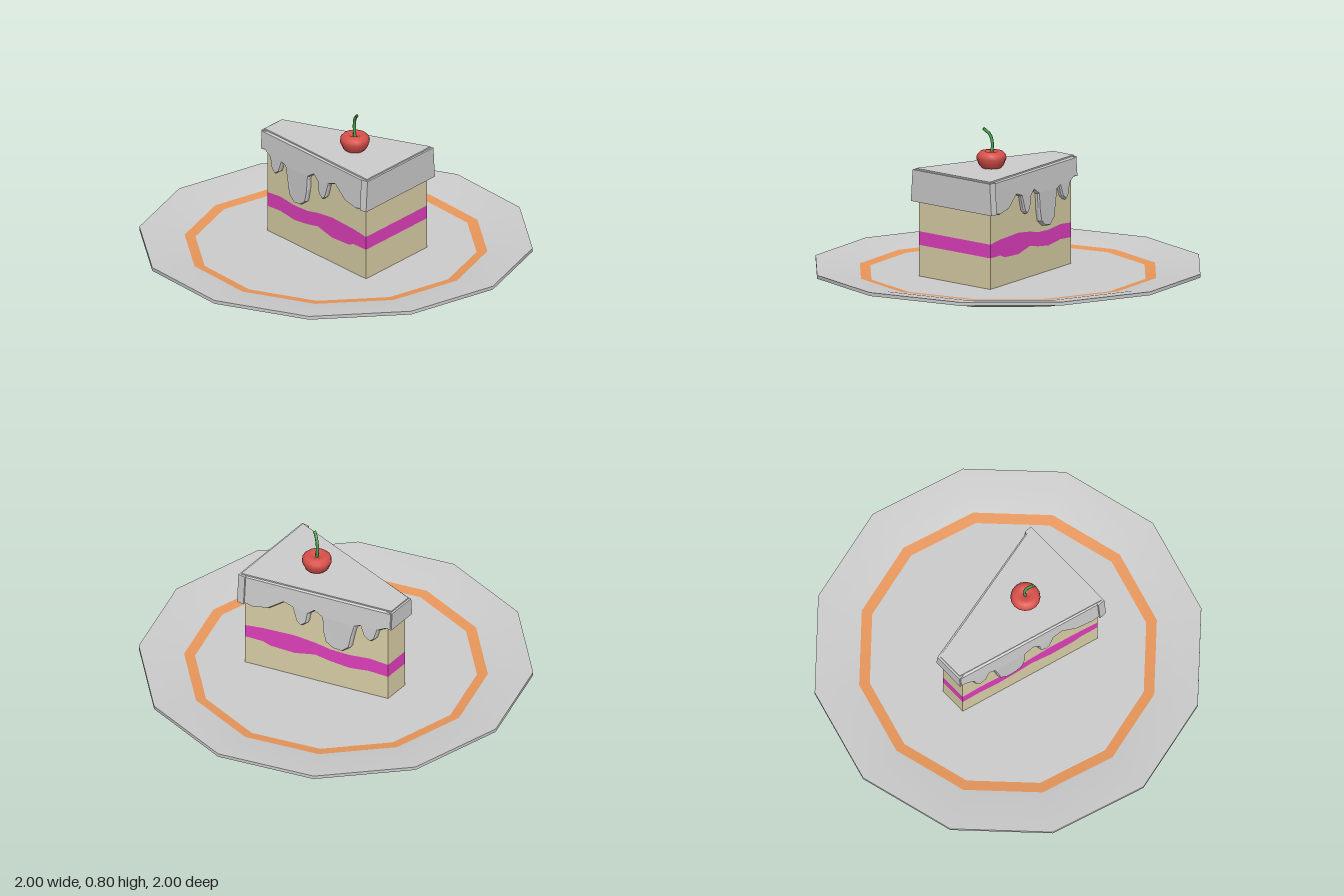
import * as THREE from 'three';

const V2 = (p) => new THREE.Vector2(p[0], p[1]);
const paint = (color) => new THREE.MeshStandardMaterial({ color });

function add(parent, name, geometry, material) {
  const mesh = new THREE.Mesh(geometry, material);
  mesh.name = name;
  parent.add(mesh);
  return mesh;
}

// Lathe profiles run from the underside, outwards, then back over the top
const lathe = (points, sides) => new THREE.LatheGeometry(points.map(V2), sides);

// Outer half width of the icing at depth z; it flares slightly downwards
const SLOPE = 0.232;
const icingHalf = (z, y) =>
  0.284 - SLOPE * (0.41 - z) - 0.012 * THREE.MathUtils.clamp((y - 0.43) / 0.16, 0, 1);

// Side of the icing: z, y along the dripping lower edge, front to back
const DRIPS = [
  [0.41, 0.435], [0.33, 0.415], [0.245, 0.43], [0.165, 0.49], [0.12, 0.475], [0.095, 0.395],
  [0.07, 0.375], [0.04, 0.4], [0.03, 0.46], [0, 0.485], [-0.04, 0.46], [-0.045, 0.38],
  [-0.06, 0.315], [-0.1, 0.285], [-0.15, 0.28], [-0.19, 0.315], [-0.205, 0.395], [-0.22, 0.455],
  [-0.245, 0.465], [-0.265, 0.41], [-0.3, 0.385], [-0.325, 0.41], [-0.34, 0.465], [-0.38, 0.487],
  [-0.41, 0.49],
];

// Filling between the sponge layers: z, lower y, upper y
const FILLING = [
  [0.385, 0.2, 0.27], [0.29, 0.198, 0.28], [0.25, 0.182, 0.281], [0.12, 0.175, 0.285],
  [0.01, 0.198, 0.272], [-0.07, 0.182, 0.255], [-0.17, 0.17, 0.25], [-0.28, 0.182, 0.26],
  [-0.38, 0.175, 0.25],
];

function dripSide(s) {
  const shape = new THREE.Shape([...DRIPS, [-0.41, 0.588], [0.41, 0.588]].map(V2));
  const g = new THREE.ExtrudeGeometry(shape, {
    depth: 0.025, bevelThickness: 0.01, bevelSize: 0.006, bevelOffset: -0.006, bevelSegments: 1,
  });
  // Stand the slab along the slanted side of the slice
  const p = g.attributes.position;
  for (let i = 0; i < p.count; i++) {
    const z = p.getX(i), y = p.getY(i), c = p.getZ(i) + 0.01;
    p.setXYZ(i, s * icingHalf(z, y) + (s > 0 ? 0 : 0.045) - c, y, z);
  }
  g.computeVertexNormals();
  return g;
}

// Icing on the front or back end
function endSkirt(z, zSide, bottom) {
  const a = icingHalf(zSide, bottom) - 0.001, b = icingHalf(zSide, 0.588) - 0.001;
  const shape = new THREE.Shape([[-a, bottom], [a, bottom], [b, 0.588], [-b, 0.588]].map(V2));
  return new THREE.ExtrudeGeometry(shape, { depth: 0.04, bevelEnabled: false }).translate(0, 0, z);
}

// Wall strip around the slice between two height rules
function wall(lower, upper) {
  const half = (z) => 0.25 - SLOPE * (0.385 - z);
  const ring = [
    ...FILLING.map((f) => [half(f[0]), f]),
    ...[...FILLING].reverse().map((f) => [-half(f[0]), f]),
  ];
  const pos = [];
  ring.forEach(([x0, f0], i) => {
    const [x1, f1] = ring[(i + 1) % ring.length];
    const a = [x0, lower(f0), f0[0]], b = [x1, lower(f1), f1[0]];
    const c = [x1, upper(f1), f1[0]], d = [x0, upper(f0), f0[0]];
    pos.push(...a, ...b, ...c, ...a, ...c, ...d);
  });
  const g = new THREE.BufferGeometry();
  g.setAttribute('position', new THREE.Float32BufferAttribute(pos, 3));
  g.computeVertexNormals();
  return g;
}

export function createModel() {
  const model = new THREE.Group();
  const grey = paint(0xcccccc);
  const spongeColor = paint(0xd9cfa6);

  // Twelve-sided plate with a painted ring
  const plate = new THREE.Group();
  plate.name = 'plate';
  model.add(plate);
  add(plate, 'plateUnderside', lathe([[0, 0], [0.72, 0], [0.88, 0.05], [1, 0.06]], 12), grey);
  add(plate, 'plateEdge', lathe([[1, 0.06], [1, 0.078]], 12), grey);
  add(plate, 'plateRim', lathe([[1, 0.078], [0.88, 0.066], [0.77, 0.047]], 12), grey);
  add(plate, 'plateRing', lathe([[0.77, 0.047], [0.715, 0.04]], 12), paint(0xe8965a));
  add(plate, 'plateFloor', lathe([[0.715, 0.04], [0, 0.04]], 12), grey);

  // Sponge layers and filling
  const slice = new THREE.Group();
  slice.name = 'cakeSlice';
  model.add(slice);
  add(slice, 'lowerSponge', wall(() => 0.04, (f) => f[1]), spongeColor);
  add(slice, 'filling', wall((f) => f[1], (f) => f[2]), paint(0xe03fbc));
  add(slice, 'upperSponge', wall((f) => f[2], () => 0.56), spongeColor);

  // Icing: top slab, two dripping sides, front and back ends
  const icing = new THREE.Group();
  icing.name = 'icing';
  slice.add(icing);
  const f = icingHalf(0.41, 0.59) - 0.01, b = icingHalf(-0.41, 0.59) - 0.01;
  const top = new THREE.Shape([[-f, -0.4], [f, -0.4], [b, 0.4], [-b, 0.4]].map(V2));
  const slab = new THREE.ExtrudeGeometry(top, { depth: 0.055, bevelEnabled: false });
  add(icing, 'icingTop', slab.rotateX(-Math.PI / 2).translate(0, 0.54, 0), grey);
  add(icing, 'icingLeftSide', dripSide(1), grey);
  add(icing, 'icingRightSide', dripSide(-1), grey);
  add(icing, 'icingFront', endSkirt(0.371, 0.41, 0.425), grey);
  add(icing, 'icingBack', endSkirt(-0.411, -0.41, 0.488), grey);

  // Cherry with a dimple and a bent stem
  const cherry = new THREE.Group();
  cherry.name = 'cherry';
  cherry.position.set(0, 0.59, 0.12);
  model.add(cherry);
  add(cherry, 'cherryFruit', lathe([
    [0, 0], [0.045, 0], [0.062, 0.018], [0.076, 0.052], [0.073, 0.073],
    [0.058, 0.088], [0.035, 0.09], [0.012, 0.078], [0, 0.074],
  ], 16), paint(0xd9504a));
  const stemPath = new THREE.CatmullRomCurve3([
    new THREE.Vector3(0, 0.07, 0), new THREE.Vector3(0.002, 0.13, -0.005),
    new THREE.Vector3(-0.006, 0.175, 0.005), new THREE.Vector3(-0.025, 0.207, 0.033),
  ]);
  const stem = add(cherry, 'cherryStem', new THREE.TubeGeometry(stemPath, 8, 0.008, 6), paint(0x4fa556));
  stem.material.side = THREE.DoubleSide;

  return model;
}
